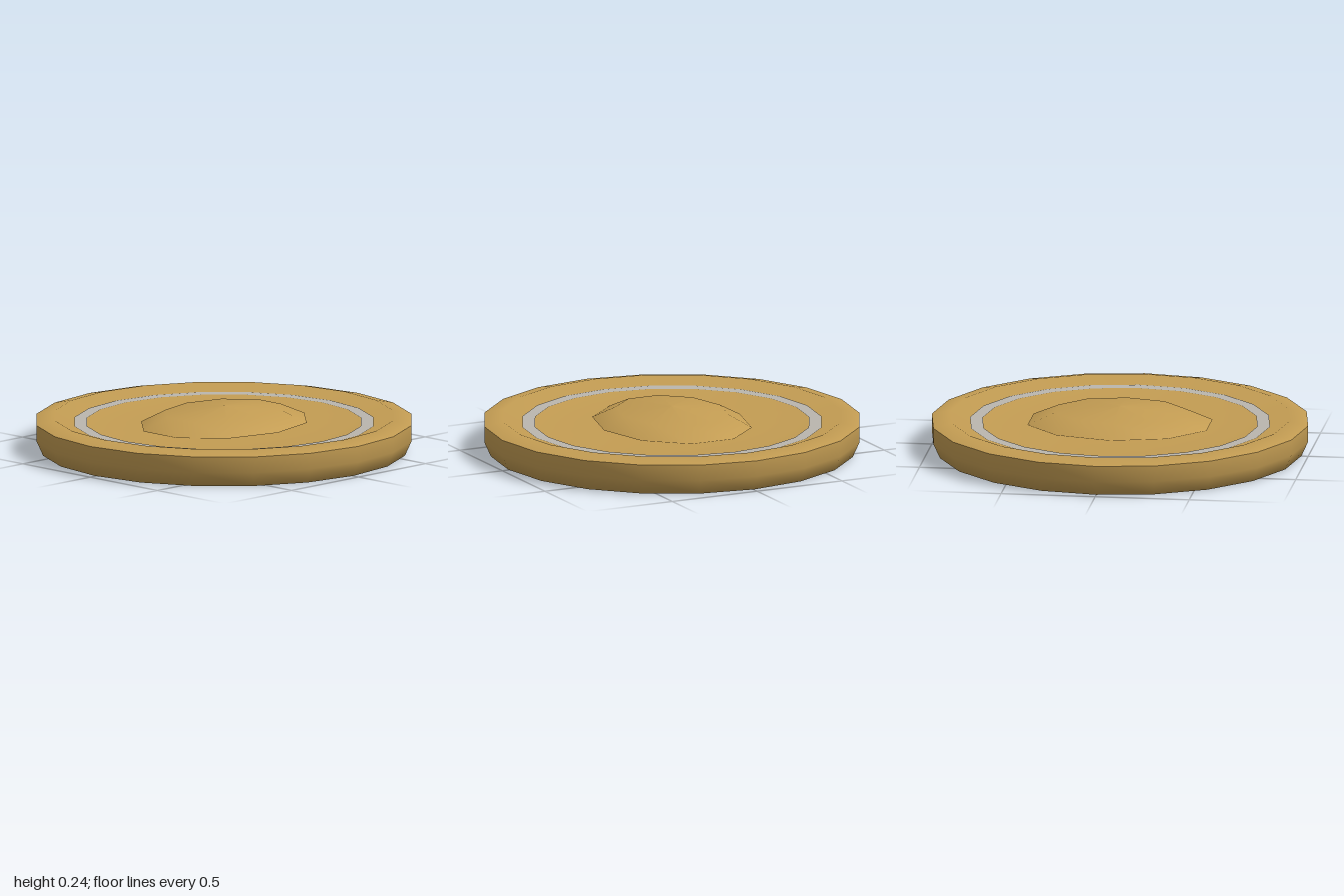
import * as THREE from 'three';

export function createModel() {
  const bronze = new THREE.MeshStandardMaterial({ color: 0xc49d53 });
  bronze.name = 'bronze';
  const steel = new THREE.MeshStandardMaterial({ color: 0xbab6ae });
  steel.name = 'steel';

  const group = new THREE.Group();
  group.name = 'disc';
  const add = (name, geometry, material) => {
    const mesh = new THREE.Mesh(geometry, material);
    mesh.name = name;
    group.add(mesh);
    return mesh;
  };
  const lathe = (points, sides = 20) =>
    new THREE.LatheGeometry(points.map(([r, y]) => new THREE.Vector2(r, y)), sides);

  // Twenty-sided body: foot and wall, then a sharp edge to the rim and shallow dish
  add('wall', lathe([[0, 0.002], [0.87, 0.002], [0.965, 0.002], [1, 0.08], [1, 0.165]]), bronze);
  add('rimAndDish', lathe([[1, 0.165], [0.9, 0.187], [0.8, 0.15], [0.4, 0.148], [0, 0.148]]), bronze);

  // Thin steel band lying in the dish
  add('inlayRing', lathe([[0.797, 0.154], [0.73, 0.153]]), steel);

  // Low oval boss, ten sides around
  const bossGeometry = lathe([[1, 0.152], [0.707, 0.215], [0, 0.24]], 10).rotateY(Math.PI / 2);
  add('boss', bossGeometry, bronze).scale.set(0.4, 1, 0.5);

  // Steel wedges on the underside: start and end angles in degrees
  const wedges = [[103, 141], [23, 80], [-43, -10], [-138, -99], [173, 182]];
  for (const [from, to] of wedges) {
    const start = THREE.MathUtils.degToRad(from - 135);
    const length = THREE.MathUtils.degToRad(to - from);
    const wedge = add('undersideWedge', new THREE.CircleGeometry(0.79, 4, start, length), steel);
    wedge.rotation.x = Math.PI / 2;
  }

  return group;
}
